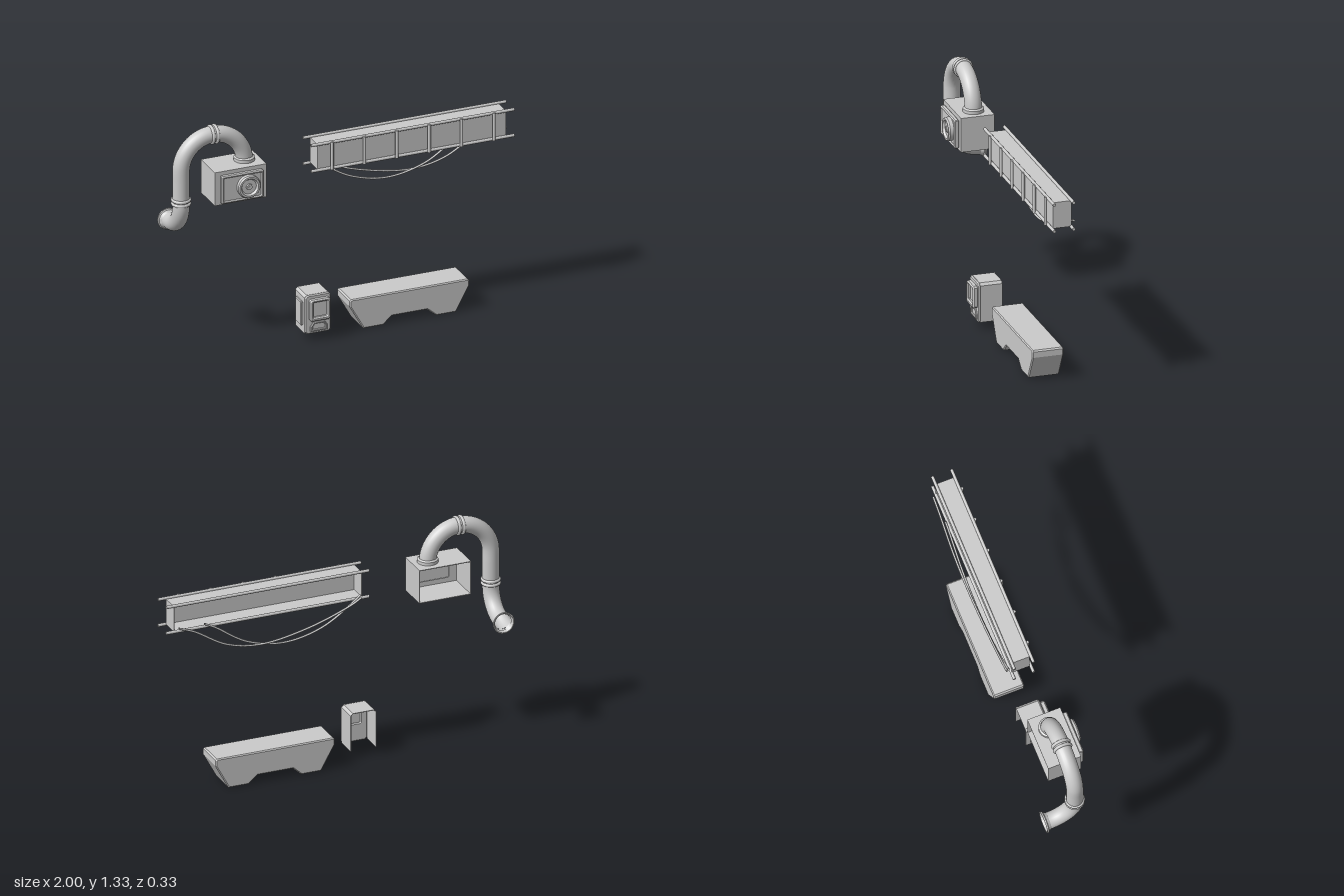
import * as THREE from 'three';
import { toCreasedNormals } from 'three/addons/utils/BufferGeometryUtils.js';

const material = new THREE.MeshStandardMaterial({ color: 0xcccccc, side: THREE.DoubleSide });
const V = (x, y, z) => new THREE.Vector3(x, y, z);

function add(parent, name, geometry, x = 0, y = 0, z = 0) {
  const mesh = new THREE.Mesh(geometry, material);
  mesh.name = name;
  mesh.position.set(x, y, z);
  parent.add(mesh);
  return mesh;
}

function group(parent, name) {
  const g = new THREE.Group();
  g.name = name;
  parent.add(g);
  return g;
}

// Box given by its limits
function box(parent, name, x0, x1, y0, y1, z0, z1) {
  return add(parent, name, new THREE.BoxGeometry(x1 - x0, y1 - y0, z1 - z0),
    (x0 + x1) / 2, (y0 + y1) / 2, (z0 + z1) / 2);
}

const polygon = (points) => points.map(([x, y]) => new THREE.Vector2(x, y));

// Rectangle with cut corners
const cutRect = (x0, x1, y0, y1, c) => polygon([
  [x0 + c, y0], [x1 - c, y0], [x1, y0 + c], [x1, y1 - c],
  [x1 - c, y1], [x0 + c, y1], [x0, y1 - c], [x0, y0 + c]]);

// Outline with optional hole, extruded from z0 to z1; the bevel stays inside the outline
function plate(parent, name, outline, z0, z1, bevel = 0, hole = null) {
  const shape = new THREE.Shape(outline);
  if (hole) shape.holes.push(new THREE.Path(hole));
  const geometry = new THREE.ExtrudeGeometry(shape, {
    depth: z1 - z0 - 2 * bevel, bevelEnabled: bevel > 0, bevelSegments: 1,
    bevelSize: bevel, bevelThickness: bevel, bevelOffset: -bevel });
  return add(parent, name, geometry, 0, 0, z0 + bevel);
}

function lathe(parent, name, profile, x, y, z) {
  const geometry = toCreasedNormals(new THREE.LatheGeometry(polygon(profile), 32), 0.6);
  return add(parent, name, geometry, x, y, z);
}

// Five-sided housing, open at the back
function openBox(parent, name, x0, x1, y0, y1, z0, z1, t, frontHole = null) {
  const g = group(parent, name);
  box(g, 'top wall', x0, x1, y1 - t, y1, z0, z1);
  box(g, 'bottom wall', x0, x1, y0, y0 + t, z0, z1);
  box(g, 'left wall', x1 - t, x1, y0 + t, y1 - t, z0, z1);
  box(g, 'right wall', x0, x0 + t, y0 + t, y1 - t, z0, z1);
  plate(g, 'front wall', cutRect(x0 + t, x1 - t, y0 + t, y1 - t, 0.001), z1 - t, z1, 0, frontHole);
}

function buildVent(model) {
  const vent = group(model, 'vent unit');
  openBox(vent, 'vent housing', -0.78, -0.476, 0.893, 1.09, -0.074, 0.118, 0.004,
    cutRect(-0.73, -0.525, 0.925, 1.05, 0.002));
  plate(vent, 'vent frame', cutRect(-0.75, -0.503, 0.907, 1.07, 0.004), 0.117, 0.146, 0.006,
    cutRect(-0.735, -0.518, 0.921, 1.056, 0.004));
  plate(vent, 'vent panel', cutRect(-0.74, -0.513, 0.916, 1.061, 0.002), 0.125, 0.139);
  lathe(vent, 'fan ring', [[0.066, 0], [0.066, 0.022], [0.06, 0.03], [0.05, 0.03], [0.042, 0.018],
    [0.018, 0.018], [0.016, 0.025], [0.006, 0.025], [0.006, 0.029], [0, 0.029]],
  -0.594, 0.99, 0.138).rotation.x = Math.PI / 2;

  // Duct: arch over the top, straight drop, elbow to the back
  const z = 0.018, path = [];
  for (let i = 0; i <= 20; i++) {
    const a = Math.PI * i / 20;
    path.push(V(-0.75 + 0.186 * Math.cos(a), 1.088 + 0.186 * Math.sin(a), z));
  }
  path.push(V(-0.936, 1.03, z), V(-0.936, 0.95, z));
  for (let i = 0; i <= 12; i++) {
    const a = Math.PI / 2 * i / 12;
    path.push(V(-0.936, 0.885 - 0.155 * Math.sin(a), z - 0.155 + 0.155 * Math.cos(a)));
  }
  add(vent, 'duct', new THREE.TubeGeometry(new THREE.CatmullRomCurve3(path), 110, 0.047, 24));

  // Joint collars and the flanges at both ends
  const ring = () => new THREE.TorusGeometry(0.047, 0.009, 8, 32);
  for (const s of [-1, 1]) {
    add(vent, 'arch collar', ring(), -0.748 + s * 0.013, 1.273, z).rotation.y = Math.PI / 2;
    add(vent, 'drop collar', ring(), -0.936, 0.908 + s * 0.011, z).rotation.x = Math.PI / 2;
  }
  lathe(vent, 'inlet flange', [[0.047, 0], [0.058, 0], [0.058, 0.018], [0.047, 0.025]], -0.564, 1.09, z);
  lathe(vent, 'outlet flange', [[0.047, -0.002], [0.051, 0.005], [0.055, 0.014], [0.062, 0.018],
    [0.062, 0.027], [0.056, 0.027], [0.047, 0.012]], -0.936, 0.73, -0.137).rotation.x = -Math.PI / 2;
}

function buildBeam(model) {
  const beam = group(model, 'beam');
  openBox(beam, 'beam channel', -0.155, 0.955, 0.975, 1.125, -0.036, 0.068, 0.004);
  for (const y of [0.974, 1.128]) {
    for (const z of [-0.036, 0.075]) {
      add(beam, 'rail', new THREE.CylinderGeometry(0.009, 0.009, 1.195, 10), 0.4025, y, z)
        .rotation.z = Math.PI / 2;
    }
  }
  for (let i = 0; i < 6; i++) {
    add(beam, 'rib', new THREE.CylinderGeometry(0.009, 0.009, 0.164, 10), -0.076 + i * 0.1905, 1.051, 0.086);
  }
  // Slack cables behind the beam
  const cable = (points, z) => add(beam, 'cable', new THREE.TubeGeometry(
    new THREE.CatmullRomCurve3(points.map(([x, y]) => V(x, y, z))), 48, 0.006, 8));
  cable([[-0.14, 1.0], [-0.1, 0.965], [0.09, 0.845], [0.31, 0.798], [0.53, 0.845], [0.72, 0.965], [0.78, 0.995]], -0.049);
  cable([[-0.14, 0.985], [-0.09, 0.955], [0.16, 0.865], [0.45, 0.817], [0.65, 0.853], [0.845, 0.965], [0.935, 1.0]], -0.058);
}

function buildTerminal(model) {
  const terminal = group(model, 'wall terminal');
  // Hood open at the back and bottom
  const x0 = -0.258, x1 = -0.105, y0 = 0.045, y1 = 0.27, c = 0.014, t = 0.004;
  plate(terminal, 'terminal hood', polygon([
    [x0, y0], [x0 + t, y0], [x0 + t, y1 - c], [x0 + c, y1 - t], [x1 - c, y1 - t], [x1 - t, y1 - c],
    [x1 - t, y0], [x1, y0], [x1, y1 - c], [x1 - c, y1], [x0 + c, y1], [x0, y1 - c]]), 0.005, 0.13);
  plate(terminal, 'terminal face', cutRect(x0, x1, 0.04, y1, c), 0.126, 0.14, 0.006,
    cutRect(-0.215, -0.14, 0.147, 0.232, 0.004));
  plate(terminal, 'screen frame', cutRect(-0.238, -0.118, 0.122, 0.25, 0.01), 0.136, 0.168, 0.007,
    cutRect(-0.218, -0.138, 0.145, 0.233, 0.004));
  box(terminal, 'screen', -0.222, -0.134, 0.14, 0.238, 0.136, 0.15);
  // Card tray below the screen
  plate(terminal, 'tray frame', polygon([[-0.228, 0.055], [-0.128, 0.055], [-0.128, 0.085],
    [-0.146, 0.11], [-0.21, 0.11], [-0.228, 0.085]]), 0.134, 0.148, 0.004,
  polygon([[-0.214, 0.067], [-0.142, 0.067], [-0.142, 0.083], [-0.152, 0.099], [-0.204, 0.099], [-0.214, 0.083]]));
  // Side panel
  plate(terminal, 'side panel', cutRect(-0.11, -0.03, 0.085, 0.228, 0.005), 0, 0.015, 0.004)
    .rotation.y = -Math.PI / 2;
  terminal.children.at(-1).position.set(-0.259, 0, 0.14);
}

function buildBench(model) {
  const bench = group(model, 'bench');
  plate(bench, 'bench body', polygon([[0.02, 0.147], [0.1, 0.005], [0.217, 0.005], [0.267, 0.05],
    [0.475, 0.05], [0.528, 0.005], [0.645, 0.005], [0.722, 0.147], [0.722, 0.18], [0.714, 0.188],
    [0.028, 0.188], [0.02, 0.18]]), -0.07, 0.108, 0.006).position.y = -0.005;
}

export function createModel() {
  const model = new THREE.Group();
  model.name = 'wall fixtures';
  buildVent(model);
  buildBeam(model);
  buildTerminal(model);
  buildBench(model);
  return model;
}
